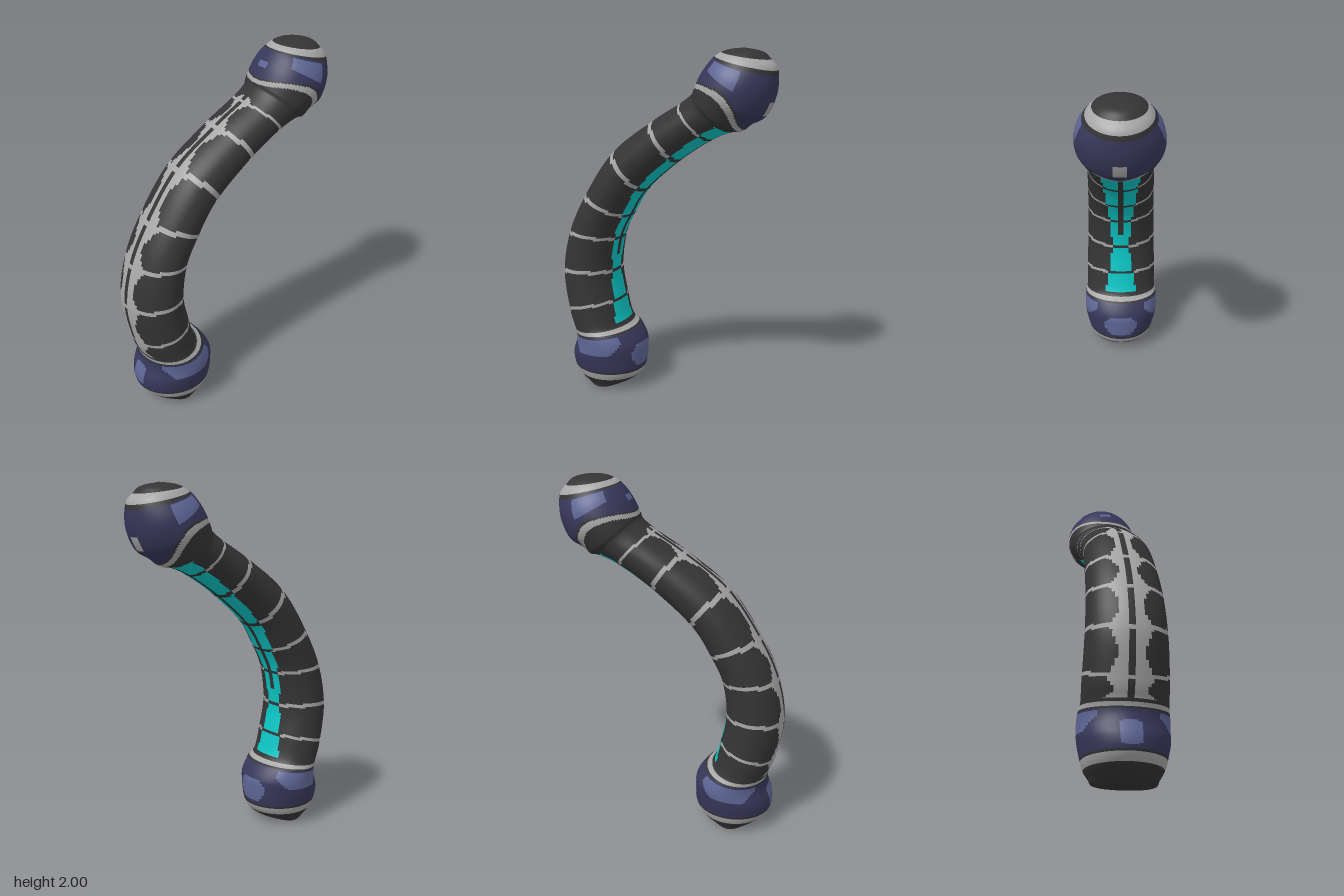
import * as THREE from 'three';

// Cross-sections from foot to tip: outer x, y, inner x, y, half depth
const SECTIONS = [
  [-0.36, 0, -0.36, 0, 0], [-0.43, 0.005, -0.29, 0.005, 0.14], [-0.51, 0.04, -0.21, 0.04, 0.17],
  [-0.56, 0.085, -0.16, 0.085, 0.195], [-0.585, 0.135, -0.138, 0.14, 0.21], [-0.585, 0.2, -0.133, 0.225, 0.225],
  [-0.56, 0.27, -0.14, 0.29, 0.228], [-0.553, 0.32, -0.185, 0.36, 0.225], [-0.565, 0.37, -0.245, 0.41, 0.215],
  [-0.595, 0.46, -0.28, 0.545, 0.214], [-0.63, 0.7, -0.307, 0.72, 0.207], [-0.585, 0.94, -0.277, 0.92, 0.2],
  [-0.475, 1.17, -0.21, 1.06, 0.195], [-0.29, 1.43, -0.105, 1.22, 0.188], [-0.05, 1.61, 0.1, 1.4, 0.182],
  [0.12, 1.715, 0.29, 1.525, 0.18], [0.19, 1.77, 0.41, 1.575, 0.185], [0.205, 1.8, 0.455, 1.58, 0.2],
  [0.225, 1.845, 0.5, 1.615, 0.208], [0.25, 1.89, 0.575, 1.66, 0.215], [0.285, 1.935, 0.625, 1.77, 0.2],
  [0.31, 1.96, 0.63, 1.89, 0.158], [0.345, 1.98, 0.59, 1.945, 0.125], [0.39, 1.993, 0.55, 1.98, 0.08],
  [0.46, 2, 0.46, 2, 0],
];
const STEPS = 20, COLS = 80;
const ROWS = (SECTIONS.length - 1) * STEPS;
const DARK = 0, GREY = 1, NAVY = 2, BLUE = 3, TEAL = 4;
const between = (v, lo, hi) => v >= lo && v <= hi;

// u counts cross-sections, c is +1 on the inner curve and -1 on the outer, z is the distance from the mid plane
function footColour(u, c, z) {
  if (between(u, 2.85, 3.7)) return GREY;
  if (between(u, 3.9, 7.1)) {
    const patch = between(u, 5.4, 6.95) && Math.abs(c) < 0.45 + 0.3 * Math.min(1, u - 5.4);
    const hexWidth = 0.1 - 0.06 * Math.max(0, Math.abs(u - 5.1) - 0.3);
    const hex = between(u, 4.2, 6) && between(z, 0.008, c > 0 ? hexWidth : hexWidth * 0.6);
    return patch || hex ? BLUE : NAVY;
  }
  return DARK;
}

function shaftColour(u, c, z) {
  const bowed = u - 0.1 * (1 - c * c);
  const ring = Math.round(bowed);
  const nearRing = Math.abs(bowed - ring) < 0.055;
  if (c > 0 && u > 8) {
    // Paired panels along the inner curve
    const width = u < 10 ? 0.05 + 0.025 * (10 - u) : 0.05 + 0.016 * (u - 10);
    if (z < width) return z > 0.008 && u < 16 && !nearRing ? TEAL : DARK;
  }
  if (c < 0 && between(u, 8, 15.3)) {
    // Scalloped spine along the outer curve
    const width = 0.1 - 0.009 * (u - 8) + 0.02 * Math.cos(u * Math.PI * 2);
    if (between(z, 0.01, width)) return GREY;
  }
  if (between(u, 7.3, 7.75)) return GREY;
  return nearRing && between(ring, 9, 15) ? GREY : DARK;
}

function headColour(u, c, z) {
  const collar = u - 1.7 * (1 - c * c);
  if (between(u, 21, 21.95)) return GREY;
  if (u > 20.75) return DARK;
  if (between(collar, 16.9, 17.4)) return GREY;
  if (collar < 17.55) return shaftColour(u, c, z);
  if (c > 0 && z < 0.04 && between(u, 19.05, 19.7)) return GREY;
  if (c < 0 && z < 0.04 && between(u, 18.7, 19.3)) return BLUE;
  return between(u, 19.6, 20.65) && between(c, -0.68, 0.2) ? BLUE : NAVY;
}

export function createModel() {
  const group = new THREE.Group();
  const colours = { charcoal: 0x343434, paleGrey: 0xa6a6a6, navy: 0x37375a, slateBlue: 0x5d6594, teal: 0x0cc4c4 };
  const materials = Object.entries(colours).map(([name, color]) => {
    const material = new THREE.MeshStandardMaterial({ color });
    material.name = name;
    return material;
  });

  // Smooth swept skin shared by all parts
  const outer = new THREE.CatmullRomCurve3(SECTIONS.map(s => new THREE.Vector3(s[0], s[1], s[4])), false, 'catmullrom');
  const inner = new THREE.CatmullRomCurve3(SECTIONS.map(s => new THREE.Vector3(s[2], s[3], 0)), false, 'catmullrom');
  const positions = [];
  for (let r = 0; r <= ROWS; r++) {
    const o = outer.getPoint(r / ROWS), i = inner.getPoint(r / ROWS);
    for (let k = 0; k < COLS; k++) {
      const a = (k / COLS) * Math.PI * 2, c = Math.cos(a);
      const y = (o.y + i.y) / 2 + c * (i.y - o.y) / 2;
      positions.push((o.x + i.x) / 2 + c * (i.x - o.x) / 2, THREE.MathUtils.clamp(y, 0, 2), Math.sin(a) * o.z);
    }
  }
  const quad = (r, k) => {
    const n = (k + 1) % COLS, a = r * COLS + k, b = r * COLS + n;
    return [a, a + COLS, b, b, a + COLS, b + COLS];
  };
  const skin = new THREE.BufferGeometry();
  skin.setAttribute('position', new THREE.Float32BufferAttribute(positions, 3));
  const all = [];
  for (let r = 0; r < ROWS; r++) for (let k = 0; k < COLS; k++) all.push(...quad(r, k));
  skin.setIndex(all);
  skin.computeVertexNormals();

  // Cut a run of the skin into one part, with its faces grouped by colour
  function addPart(name, from, to, colourAt) {
    const buckets = materials.map(() => []);
    for (let r = Math.round(from * STEPS); r < Math.round(to * STEPS); r++) {
      const halfDepth = outer.getPoint((r + 0.5) / ROWS).z;
      for (let k = 0; k < COLS; k++) {
        const a = ((k + 0.5) / COLS) * Math.PI * 2;
        const colour = colourAt((r + 0.5) / STEPS, Math.cos(a), Math.abs(Math.sin(a)) * halfDepth);
        buckets[colour].push(...quad(r, k));
      }
    }
    const geometry = new THREE.BufferGeometry();
    geometry.setAttribute('position', skin.attributes.position);
    geometry.setAttribute('normal', skin.attributes.normal);
    geometry.setIndex(buckets.flat());
    let start = 0;
    buckets.forEach((bucket, m) => {
      if (bucket.length) geometry.addGroup(start, bucket.length, m);
      start += bucket.length;
    });
    const mesh = new THREE.Mesh(geometry, materials);
    mesh.name = name;
    group.add(mesh);
  }
  addPart('footKnob', 0, 7.2, footColour);
  addPart('curvedShaft', 7.2, 16.5, shaftColour);
  addPart('headKnob', 16.5, 24, headColour);
  return group;
}
